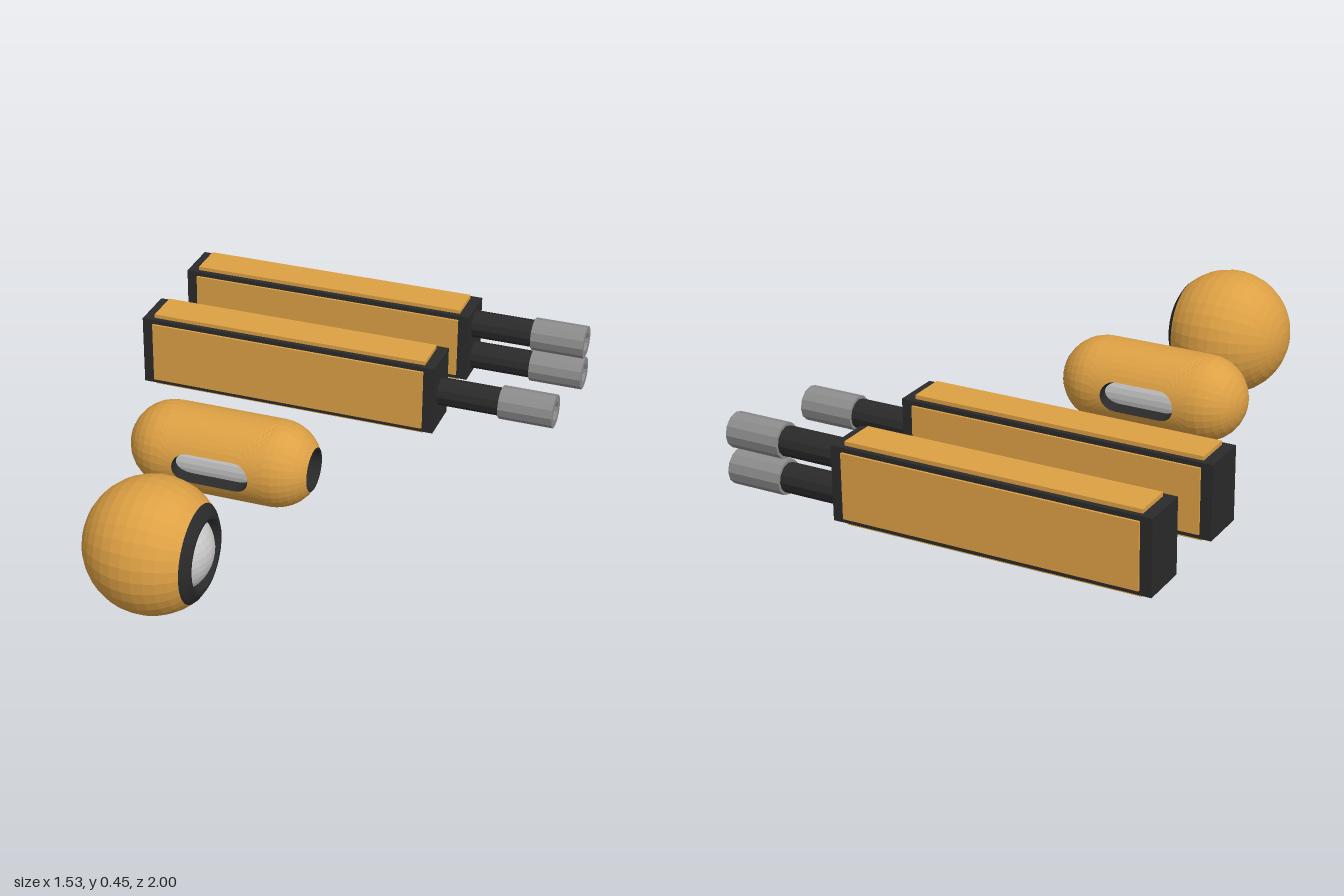
import * as THREE from 'three';

const mat = (color) => new THREE.MeshStandardMaterial({ color, flatShading: true, side: THREE.DoubleSide });
const CY = 0.228; // height of every part's axis

export function createModel() {
  const model = new THREE.Group();
  const gold = mat(0xdda044), dark = mat(0x2a2a2a), steel = mat(0x8c8c8c), pale = mat(0xcccccc);

  const add = (parent, name, geometry, material, x = 0, y = 0, z = 0) => {
    const mesh = new THREE.Mesh(geometry, material);
    mesh.name = name;
    mesh.position.set(x, y, z);
    parent.add(mesh);
    return mesh;
  };
  const group = (name, x, z) => {
    const g = new THREE.Group();
    g.name = name;
    g.position.set(x, CY, z);
    model.add(g);
    return g;
  };
  // surface turned around the x axis, from [radius, x] pairs
  const turned = (pairs, sides = 32) =>
    new THREE.LatheGeometry(pairs.map(([r, x]) => new THREE.Vector2(r, x)), sides).rotateZ(-Math.PI / 2);
  // arc of a sphere profile centred at cx, angles measured from the -x pole
  const arc = (r, cx, a0, a1, n) => Array.from({ length: n + 1 }, (_, i) => {
    const a = a0 + (a1 - a0) * i / n;
    return [Math.max(0, r * Math.sin(a)), cx - r * Math.cos(a)];
  });
  // closed strip of quads from a point function of (u step, v step)
  const strip = (nu, nv, point) => {
    const pos = [], index = [];
    for (let i = 0; i <= nu; i++) for (let j = 0; j <= nv; j++) pos.push(...point(i % nu, j / nv));
    for (let i = 0; i < nu; i++) for (let j = 0; j < nv; j++) {
      const a = i * (nv + 1) + j, d = a + nv + 1;
      index.push(a, a + 1, d + 1, a, d + 1, d);
    }
    const g = new THREE.BufferGeometry();
    g.setAttribute('position', new THREE.Float32BufferAttribute(pos, 3));
    g.setIndex(index);
    g.computeVertexNormals();
    return g;
  };

  // --- ball with an eye facing +x ---
  const ball = group('eyeBall', -0.21, 0.773);
  const cut = Math.acos(-0.155 / 0.226);
  add(ball, 'ballShell', turned(arc(0.226, 0, 0, cut, 14)), gold);
  add(ball, 'eyeRing', turned([[0.164, 0.155], [0.157, 0.163], [0.128, 0.181], [0.118, 0.181], [0.098, 0.15]]), dark);
  add(ball, 'eye', new THREE.SphereGeometry(0.15, 32, 20), pale, 0.05);

  // --- capsule with side slots and an open end ---
  const capsule = group('capsule', -0.207, 0.17);
  const R = 0.15, HALF = 0.1875, SLOT = 0.054, STRAIGHT = 0.083, INNER = 0.11, Q = 16;
  const endCut = Math.acos(-0.13 / R);
  add(capsule, 'closedEnd', turned(arc(R, -HALF, 0, Math.PI / 2, 8)), gold);
  add(capsule, 'openEnd', turned(arc(R, HALF, Math.PI / 2, endCut, 6)), gold);
  add(capsule, 'endRim', turned([[0.076, HALF + 0.13], [0.07, HALF + 0.13], [0.068, HALF + 0.05]]), dark);
  add(capsule, 'innerCapsule', new THREE.CapsuleGeometry(INNER, 0.29, 8, 32).rotateZ(Math.PI / 2), pale);

  // matching points on the slot outline and the half-cylinder's border, as [x, angle]
  const border = (i) => {
    const side = Math.floor(i / Q), t = (i % Q) / Q * 2 - 1;
    const [u, v] = [[1, t], [-t, 1], [-1, -t], [t, -1]][side];
    const a = v * Math.PI / 2;
    const slot = side % 2 === 0
      ? [u * (STRAIGHT + SLOT * Math.cos(a)), SLOT * Math.sin(a)]
      : [u * STRAIGHT, v * SLOT];
    return { slot: [slot[0], Math.asin(slot[1] / R)], edge: [u * HALF, a] };
  };
  const wrap = (x, a, r) => [x, r * Math.sin(a), r * Math.cos(a)];
  const wall = strip(4 * Q, 8, (i, v) => {
    const { slot, edge } = border(i);
    return wrap(slot[0] + (edge[0] - slot[0]) * v, slot[1] + (edge[1] - slot[1]) * v, R);
  });
  const rim = strip(4 * Q, 1, (i, v) => {
    const { slot } = border(i);
    return wrap(slot[0], slot[1], INNER + (R - INNER) * v);
  });
  for (const [side, turn] of [['front', 0], ['back', Math.PI]]) {
    add(capsule, side + 'Wall', wall, gold).rotation.x = turn;
    add(capsule, side + 'SlotRim', rim, dark).rotation.x = turn;
  }

  // --- box guns with one or two barrels ---
  const gun = (name, z, barrelHeights) => {
    const g = group(name, 0, z);
    add(g, 'housing', new THREE.BoxGeometry(1.11, 0.258, 0.17), dark, -0.21);
    for (const s of [-1, 1]) {
      add(g, 'sidePanel', new THREE.BoxGeometry(1.03, 0.226, 0.02), gold, -0.21, 0, s * 0.083);
      add(g, 'edgePanel', new THREE.BoxGeometry(1.03, 0.02, 0.134), gold, -0.21, s * 0.133, 0);
    }
    for (const y of barrelHeights) {
      add(g, 'barrel', turned([[0.05, 0.34], [0.05, 0.575]], 12), dark, 0, y);
      add(g, 'muzzle', turned([[0.034, 0.57], [0.06, 0.57], [0.06, 0.765], [0.034, 0.765], [0.034, 0.57]], 12), steel, 0, y);
      add(g, 'boreEnd', new THREE.CircleGeometry(0.035, 12).rotateY(Math.PI / 2), gold, 0.58, y);
    }
  };
  gun('singleGun', -0.49, [0]);
  gun('twinGun', -0.907, [0.064, -0.064]);

  return model;
}
